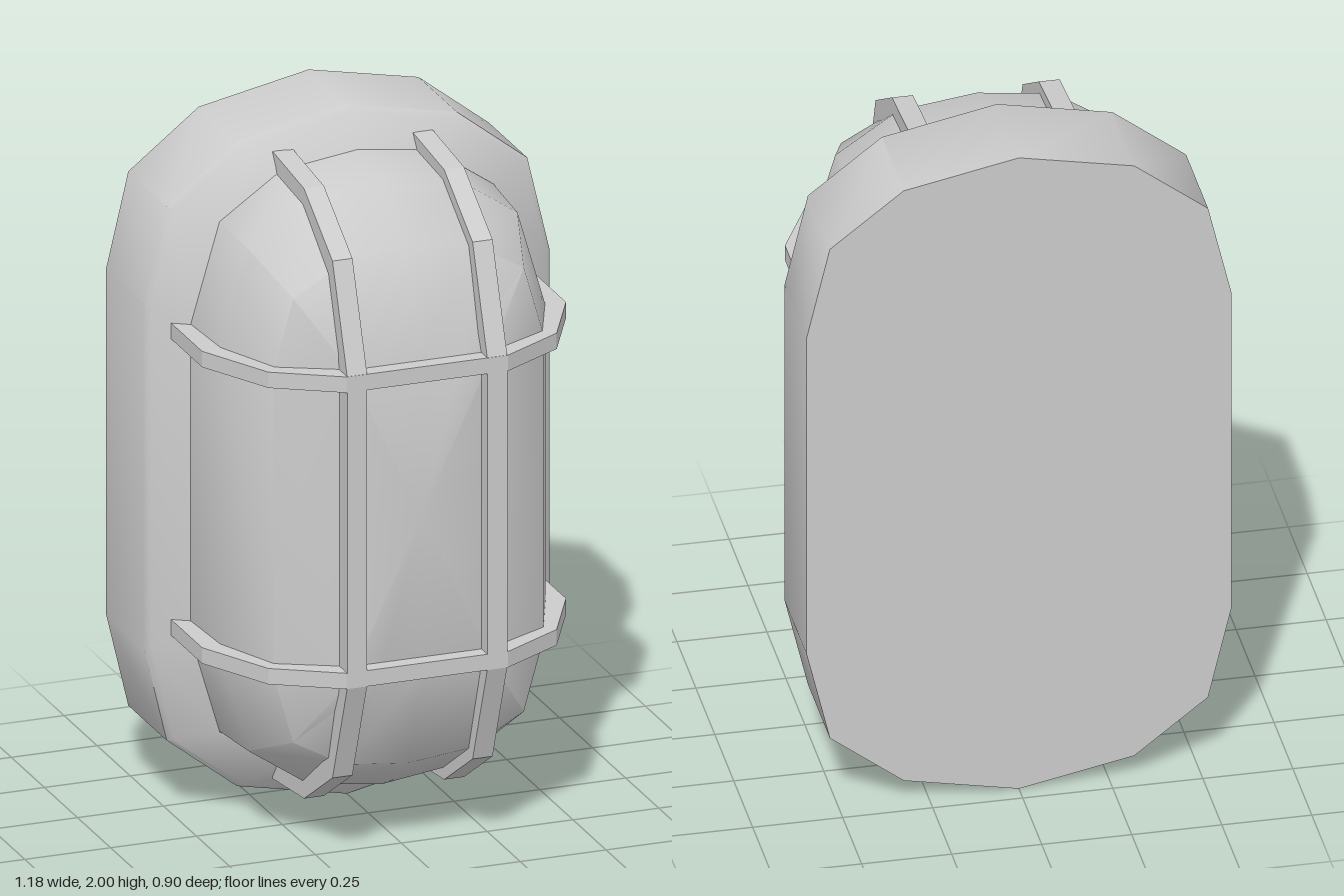
import * as THREE from 'three';
import { toCreasedNormals } from 'three/addons/utils/BufferGeometryUtils.js';

const material = new THREE.MeshStandardMaterial({ color: 0xcccccc });
const MID = 1; // height of the horizontal mirror line

// Mirror one quadrant (side point first, top point last) into a closed ring
function ring(quadrant) {
  const side = quadrant.slice(0, -1);
  const flip = (sx, sy) => side.map(([x, y]) => [x * sx, MID + y * sy]);
  const top = quadrant[quadrant.length - 1][1];
  return [
    ...flip(1, 1), [0, MID + top], ...flip(-1, 1).reverse(),
    ...flip(-1, -1), [0, MID - top], ...flip(1, -1).reverse(),
  ];
}

const blend = (a, b, k) => a.map(([x, y], i) => [x + (b[i][0] - x) * k, y + (b[i][1] - y) * k]);

// Skin rings from back to front, with optional flat ends
function loft(layers, capBack, capFront) {
  const pos = [];
  const n = layers[0].pts.length;
  const at = (l, j) => [...l.pts[j % n], l.z];
  for (let i = 0; i < layers.length - 1; i++) {
    for (let j = 0; j < n; j++) {
      const a = at(layers[i], j), b = at(layers[i], j + 1);
      const c = at(layers[i + 1], j + 1), d = at(layers[i + 1], j);
      pos.push(...a, ...b, ...c, ...a, ...c, ...d);
    }
  }
  const first = layers[0], last = layers[layers.length - 1];
  for (let j = 0; j < n; j++) {
    if (capBack) pos.push(0, MID, first.z, ...at(first, j + 1), ...at(first, j));
    if (capFront) pos.push(0, MID, last.z, ...at(last, j), ...at(last, j + 1));
  }
  const geo = new THREE.BufferGeometry();
  geo.setAttribute('position', new THREE.Float32BufferAttribute(pos, 3));
  return toCreasedNormals(geo, 0.72);
}

// Bent flat bar between an outer and an inner path
function bar(outer, inner, width) {
  const pts = [...outer, ...inner.slice().reverse()].map(([x, y]) => new THREE.Vector2(x, y));
  const geo = new THREE.ExtrudeGeometry(new THREE.Shape(pts), { depth: width, bevelEnabled: false });
  return geo.translate(0, 0, -width / 2);
}

export function createModel() {
  const group = new THREE.Group();
  const add = (name, geo) => {
    const mesh = new THREE.Mesh(geo, material);
    mesh.name = name;
    group.add(mesh);
    return mesh;
  };

  // Outlines as offsets from the centre
  const housing = ring([[0.59, 0.5], [0.525, 0.775], [0.32, 0.935], [0, 1]]);
  const rim = ring([[0.485, 0.45], [0.4, 0.74], [0.22, 0.865], [0, 0.895]]);
  const face = ring([[0.205, 0.43], [0.205, 0.45], [0.12, 0.45], [0, 0.45]]);

  // Wall housing with a sloped front collar
  add('housing', loft([
    { pts: housing, z: -0.45 },
    { pts: housing, z: -0.16 },
    { pts: blend(housing, rim, 0.13), z: -0.143 },
    { pts: rim, z: -0.085 },
  ], true, false));

  // Domed cover
  add('cover', loft([
    { pts: rim, z: -0.1 },
    { pts: blend(rim, face, 0.04), z: 0.11 },
    { pts: blend(rim, face, 0.33), z: 0.305 },
    { pts: face, z: 0.402 },
  ], false, true));

  // Horizontal guard bars, path in x and z
  const mirrorX = (p) => [...p, ...p.slice().reverse().map(([x, z]) => [-x, z])];
  const acrossOuter = mirrorX([[0.53, -0.12], [0.53, 0.12], [0.42, 0.335], [0.235, 0.447]]);
  const acrossInner = mirrorX([[0.46, -0.12], [0.46, 0.1], [0.37, 0.285], [0.215, 0.385]]);
  for (const y of [-0.43, 0.43]) {
    const geo = bar(acrossOuter, acrossInner, 0.046).rotateX(Math.PI / 2);
    add(y > 0 ? 'upperGuardBar' : 'lowerGuardBar', geo).position.y = MID + y;
  }

  // Vertical guard bars, path in z and y
  const mirrorY = (p) => [...p, ...p.slice().reverse().map(([z, y]) => [z, -y])];
  const uprightOuter = mirrorY([[-0.117, 0.91], [0.12, 0.885], [0.335, 0.75], [0.447, 0.45]]);
  const uprightInner = mirrorY([[-0.117, 0.83], [0.1, 0.81], [0.29, 0.68], [0.385, 0.43]]);
  for (const x of [-0.204, 0.204]) {
    const geo = bar(uprightOuter, uprightInner, 0.058).rotateY(-Math.PI / 2);
    add(x > 0 ? 'leftGuardBar' : 'rightGuardBar', geo).position.set(x, MID, 0);
  }

  return group;
}
